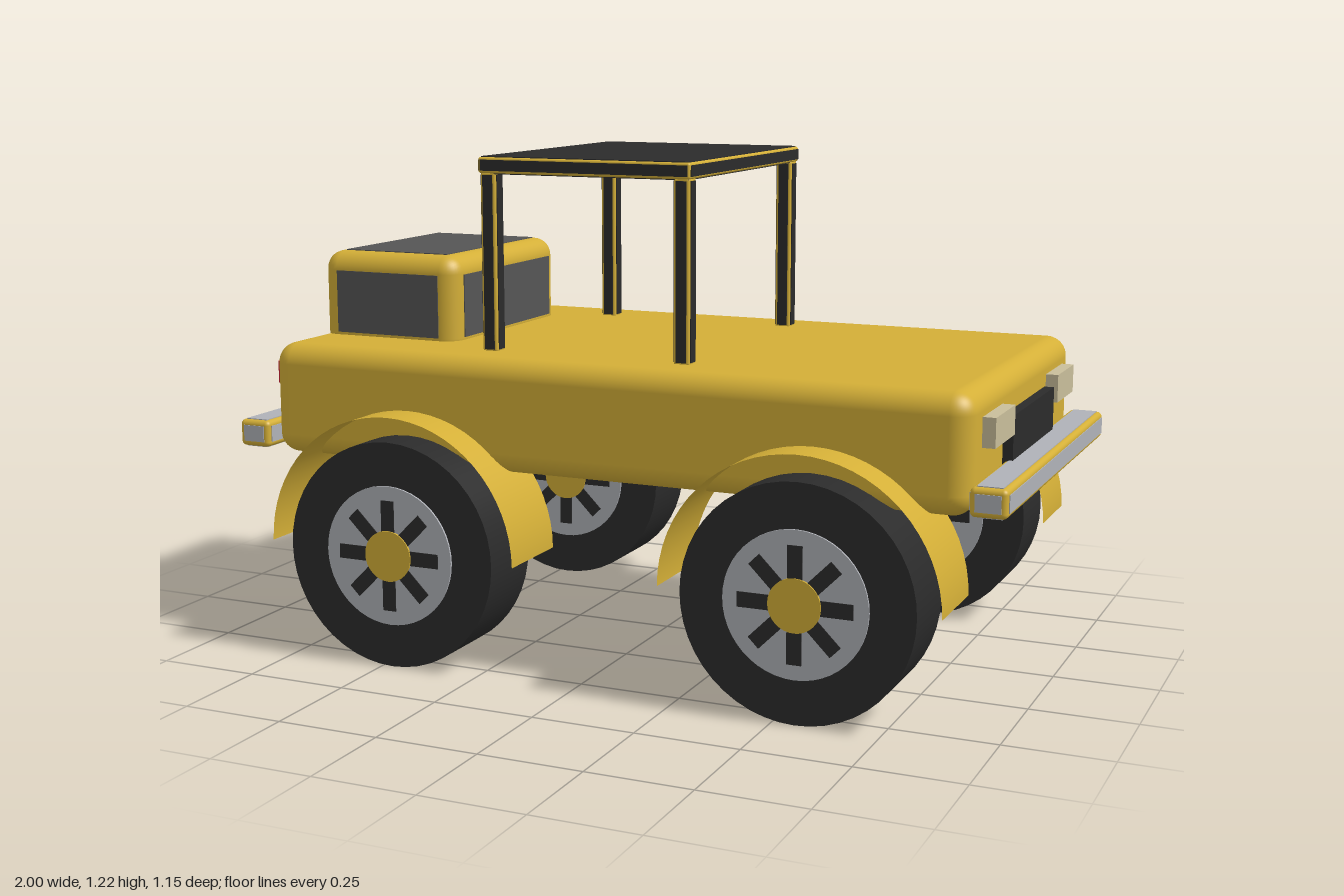
import * as THREE from 'three';
import { RoundedBoxGeometry } from 'three/addons/geometries/RoundedBoxGeometry.js';

const mat = (name, color, side = THREE.FrontSide) => {
  const m = new THREE.MeshStandardMaterial({ color, side });
  m.name = name;
  return m;
};

export function createModel() {
  const gold = mat('gold paint', 0xd4af37, THREE.DoubleSide);
  const dark = mat('dark trim', 0x2b2b2b);
  const glass = mat('tinted glass', 0x555555);
  const silver = mat('silver', 0xb0b2b8);
  const black = mat('exhaust black', 0x1a1a1a);
  const red = mat('tail light red', 0xcc2233);
  const cream = mat('headlight cream', 0xc9be9b);

  const root = new THREE.Group();
  root.name = 'buggy';

  const add = (parent, name, geometry, material, x = 0, y = 0, z = 0) => {
    const mesh = new THREE.Mesh(geometry, material);
    mesh.name = name;
    mesh.position.set(x, y, z);
    parent.add(mesh);
    return mesh;
  };
  const box = (parent, name, w, h, d, material, x, y, z) =>
    add(parent, name, new THREE.BoxGeometry(w, h, d), material, x, y, z);

  // Rounded gold block with an inset thin plate on each face
  const plated = (name, size, pos, radius, inset, material) => {
    const group = new THREE.Group();
    group.name = name;
    group.position.set(...pos);
    root.add(group);
    add(group, name + 'Frame', new RoundedBoxGeometry(...size, 4, radius), gold);
    for (let axis = 0; axis < 3; axis++) {
      for (const s of [-1, 1]) {
        const dim = size.map((v) => v - 2 * inset);
        dim[axis] = 0.006;
        const p = [0, 0, 0];
        p[axis] = s * (size[axis] / 2 - 0.001);
        box(group, name + 'Panel', ...dim, material, ...p);
      }
    }
  };

  // Main body and rear cabin
  add(root, 'body', new RoundedBoxGeometry(1.77, 0.275, 0.94, 6, 0.05), gold, 0.025, 0.6125, 0);
  plated('cabin', [0.385, 0.25, 0.552], [-0.6425, 0.835, 0], 0.045, 0.047, glass);

  // Roof on four posts
  plated('roof', [0.546, 0.038, 0.716], [-0.06, 1.194, 0], 0.006, 0.006, dark);
  for (const x of [-0.31, 0.19]) {
    for (const z of [-0.332, 0.332]) {
      plated('roofPost', [0.04, 0.432, 0.042], [x, 0.962, z], 0.006, 0.007, dark);
    }
  }

  // Bumpers
  plated('frontBumper', [0.084, 0.066, 0.97], [0.954, 0.522, 0], 0.012, 0.013, silver);
  plated('rearBumper', [0.084, 0.066, 0.97], [-0.908, 0.522, 0], 0.012, 0.013, silver);

  // Grille, lights and exhausts
  box(root, 'grille', 0.04, 0.12, 0.395, dark, 0.914, 0.6, 0);
  for (const s of [-1, 1]) {
    box(root, 'headlight', 0.04, 0.068, 0.17, cream, 0.92, 0.654, s * 0.296);
    box(root, 'tailLight', 0.05, 0.055, 0.155, red, -0.874, 0.663, s * 0.307);
    add(root, 'exhaust', new THREE.CylinderGeometry(0.031, 0.031, 0.16, 16), black, -0.92, 0.511, s * 0.217)
      .rotation.z = Math.PI / 2;
  }

  // Wheels with rims on both faces, and open arched fenders
  const disc = (parent, name, r, width, material, sides = 48) => {
    add(parent, name, new THREE.CylinderGeometry(r, r, width, sides), material).rotation.x = Math.PI / 2;
  };
  for (const x of [-0.475, 0.553]) {
    for (const s of [-1, 1]) {
      const wheel = new THREE.Group();
      wheel.name = 'wheel';
      wheel.position.set(x, 0.275, s * 0.471);
      root.add(wheel);
      disc(wheel, 'tyre', 0.275, 0.186, dark);
      disc(wheel, 'rim', 0.17, 0.196, silver);
      for (let i = 0; i < 8; i++) {
        const a = (i * Math.PI) / 4;
        box(wheel, 'spoke', 0.1, 0.035, 0.2, dark, 0.085 * Math.cos(a), 0.085 * Math.sin(a), 0).rotation.z = a;
      }
      disc(wheel, 'hub', 0.062, 0.206, gold, 32);

      const arch = new THREE.CylinderGeometry(0.33, 0.33, 0.21, 32, 1, true, Math.PI / 2, Math.PI);
      arch.rotateX(Math.PI / 2);
      add(root, 'fender', arch, gold, x, 0.28, s * 0.46);
    }
  }
  return root;
}
